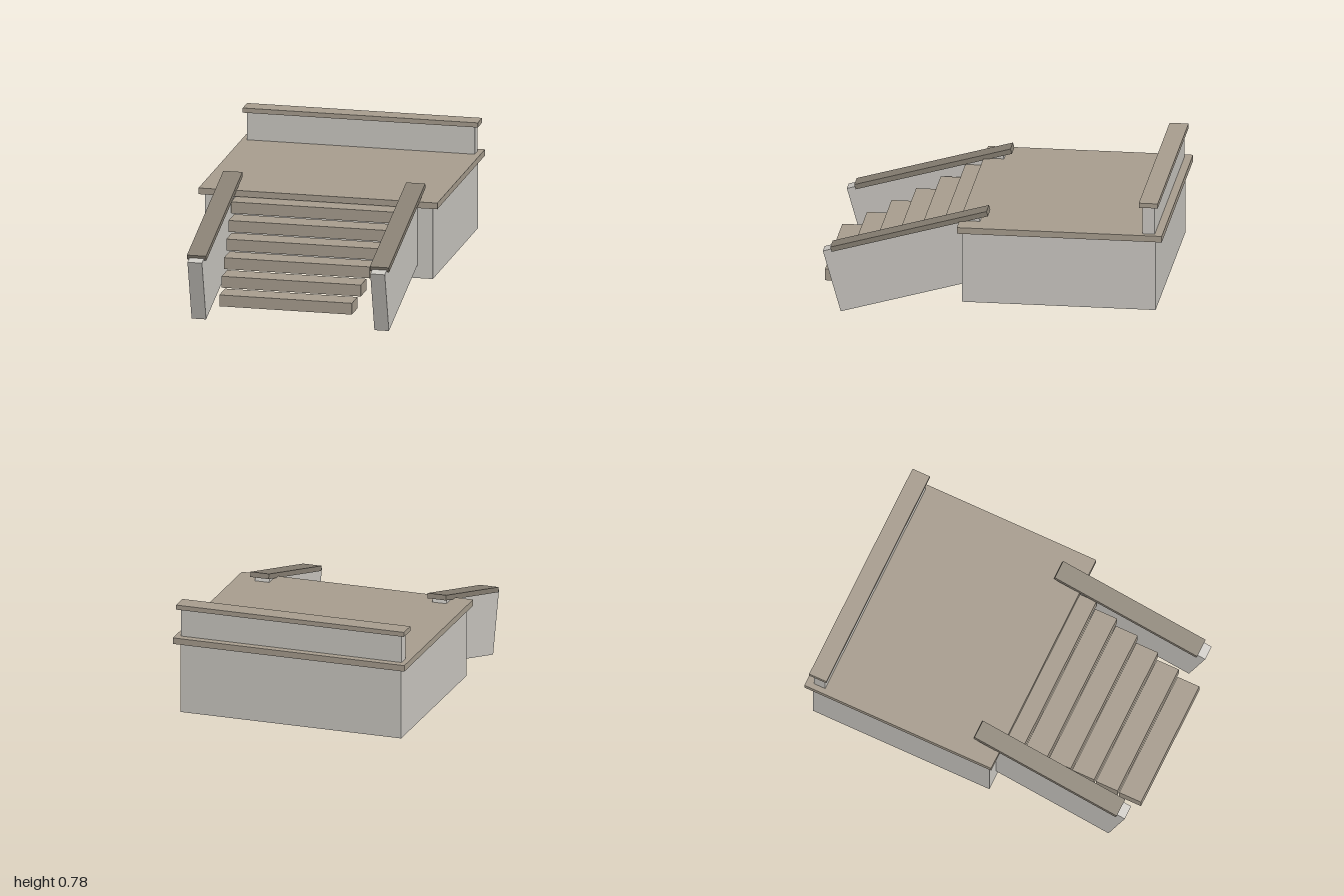
import * as THREE from 'three';

const wallMat = new THREE.MeshStandardMaterial({ color: 0xcdcac4 });
const slabMat = new THREE.MeshStandardMaterial({ color: 0xa99f90 });
const railMat = new THREE.MeshStandardMaterial({ color: 0x8a8275 });

// Box given by its size and centre, optionally tilted about x
function box(name, mat, [w, h, d], [x, y, z], tilt = 0) {
  const mesh = new THREE.Mesh(new THREE.BoxGeometry(w, h, d), mat);
  mesh.name = name;
  mesh.position.set(x, y, z);
  mesh.rotation.x = tilt;
  return mesh;
}

export function createModel() {
  const model = new THREE.Group();
  model.name = 'porch';

  // Platform: foundation block and overhanging deck
  model.add(
    box('foundation', wallMat, [1.35, 0.427, 1.125], [0, 0.3415, -0.3975]),
    box('deck', slabMat, [1.416, 0.037, 1.192], [0, 0.5735, -0.404])
  );

  // Low wall with cap along the back edge
  model.add(
    box('backWall', wallMat, [1.35, 0.168, 0.072], [0, 0.675, -0.919]),
    box('backWallCap', slabMat, [1.394, 0.028, 0.11], [0, 0.772, -0.92])
  );

  // Steps, widening towards the deck
  const steps = new THREE.Group();
  steps.name = 'steps';
  for (let i = 0; i < 6; i++) {
    steps.add(box(`step${i + 1}`, slabMat,
      [0.786 + i * 0.0392, 0.068, 0.139],
      [0, 0.156 + i * 0.0722, 0.93 - i * 0.1405]));
  }
  model.add(steps);

  // Sloping side walls with handrails
  const tilt = THREE.MathUtils.degToRad(15.9);
  for (const [side, s] of [['left', 1], ['right', -1]]) {
    model.add(
      box(`${side}StairWall`, wallMat, [0.086, 0.379, 0.94], [s * 0.542, 0.316, 0.483], tilt),
      box(`${side}Handrail`, railMat, [0.113, 0.03, 0.945], [s * 0.542, 0.515, 0.484], tilt)
    );
  }
  return model;
}
